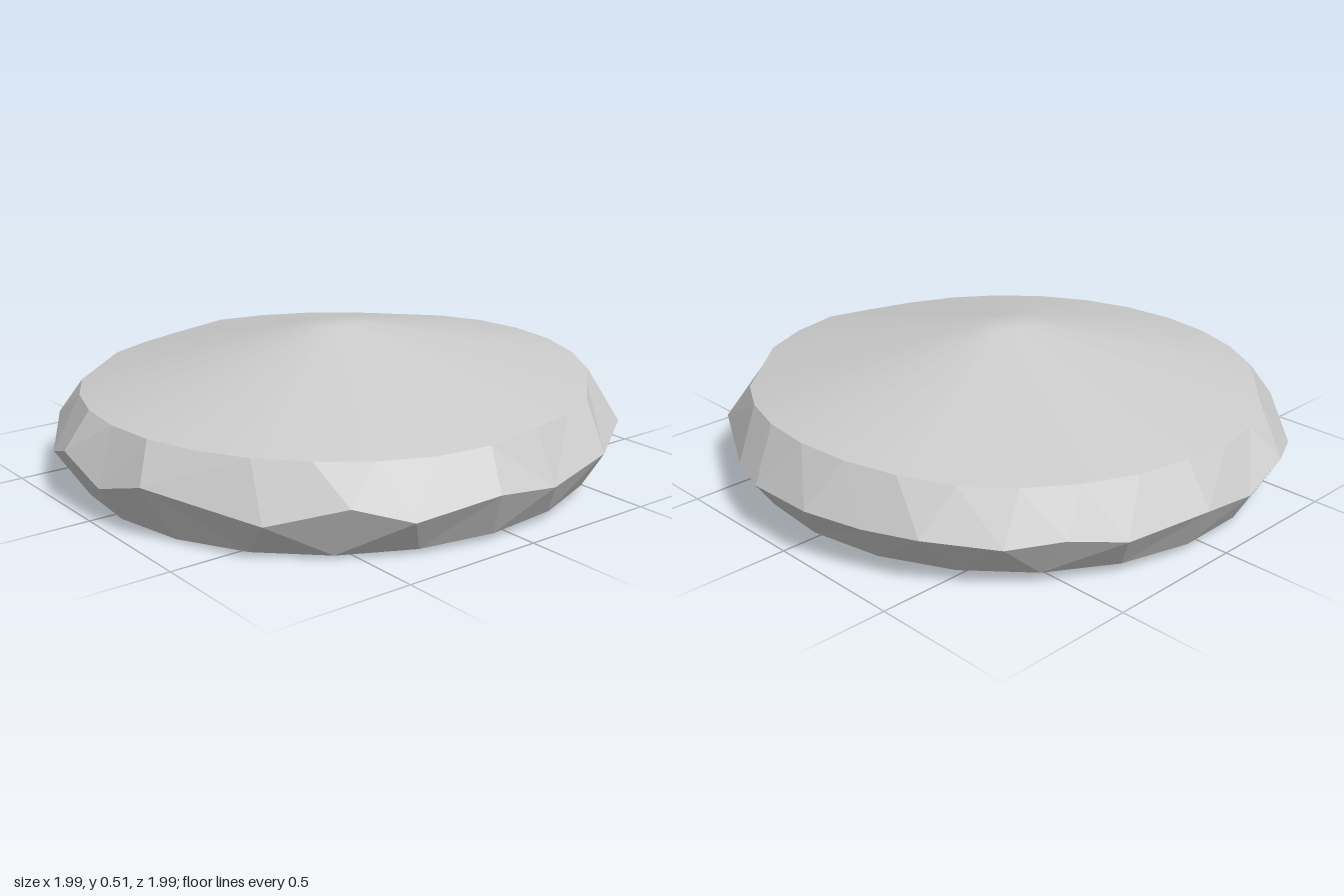
import * as THREE from 'three';
import { mergeVertices } from 'three/addons/utils/BufferGeometryUtils.js';

// A ring is a list of { a: angle from +z towards +x, p: position }.
function makeRing(angles, radius, height, cx = 0, cz = 0) {
  return angles.map((deg, i) => {
    const a = THREE.MathUtils.degToRad(deg);
    const r = typeof radius === 'function' ? radius(i) : radius;
    const x = Math.sin(a) * r + cx, z = Math.cos(a) * r + cz;
    return { a, p: new THREE.Vector3(x, height(z, i), z) };
  });
}
const even = (n, start = 0) => Array.from({ length: n }, (_, i) => start + (i * 360) / n);

// Joins two rings of any size with triangles, stepping round by angle.
function strip(lower, upper) {
  const out = [];
  const at = (ring, i) => ring[i % ring.length].p;
  const angle = (ring, i) => ring[i % ring.length].a + (i >= ring.length ? Math.PI * 2 : 0);
  let i = 0, j = 0;
  while (i < lower.length || j < upper.length) {
    const stepLower = j >= upper.length ||
      (i < lower.length && angle(lower, i + 1) <= angle(upper, j + 1));
    if (stepLower) {
      out.push(at(lower, i), at(lower, i + 1), at(upper, j));
      i++;
    } else {
      out.push(at(lower, i), at(upper, j + 1), at(upper, j));
      j++;
    }
  }
  return out;
}

// Closes a ring with a fan, facing up or down.
function fan(ring, facingUp) {
  const centre = new THREE.Vector3();
  ring.forEach(v => centre.addScaledVector(v.p, 1 / ring.length));
  return ring.flatMap((v, i) => {
    const next = ring[(i + 1) % ring.length].p;
    return facingUp ? [v.p, next, centre] : [next, v.p, centre];
  });
}

function makeMesh(name, points, smooth) {
  let geometry = new THREE.BufferGeometry().setFromPoints(points);
  if (smooth) geometry = mergeVertices(geometry);
  geometry.computeVertexNormals();
  const material = new THREE.MeshStandardMaterial({ color: 0xcccccc, flatShading: !smooth });
  const mesh = new THREE.Mesh(geometry, material);
  mesh.name = name;
  return mesh;
}

export function createModel() {
  const group = new THREE.Group();
  group.name = 'facetedDisc';

  // Gently tilted base outline
  const base = makeRing(even(22, 3), 0.91, z => Math.max(0, 0.025 - 0.028 * z));

  // Uneven, zigzagging widest edge
  const girdleAngles = [3, 16, 40, 55, 66, 82, 96, 113, 137, 162, 172, 187,
    199, 210.5, 225, 236, 247, 264, 278, 291, 306, 324, 338.5, 350];
  const girdle = makeRing(girdleAngles, i => (i % 3 ? 1.005 : 0.99),
    (z, i) => 0.17 - 0.015 * z + (i % 2 ? 1 : -1) * (0.018 + 0.015 * z));

  // Upper rim, stepping up towards the back
  const rim = makeRing(even(30), i => (i % 15 === 11 ? 0.885 : 0.905), z => {
    const step = THREE.MathUtils.clamp((0.12 - z) / 0.1, 0, 1) * 0.025;
    const back = THREE.MathUtils.clamp((-0.72 - z) / 0.18, 0, 1) * 0.02;
    return 0.305 + step + back;
  });

  // Small blunt tip of the cone
  const tip = makeRing(even(30), 0.088, () => 0.513, 0.01, 0.012);

  group.add(makeMesh('base', fan(base, false), false));
  group.add(makeMesh('lowerFacets', strip(base, girdle), false));
  group.add(makeMesh('upperFacets', strip(girdle, rim), false));
  group.add(makeMesh('coneTop', [...strip(rim, tip), ...fan(tip, true)], true));
  return group;
}
